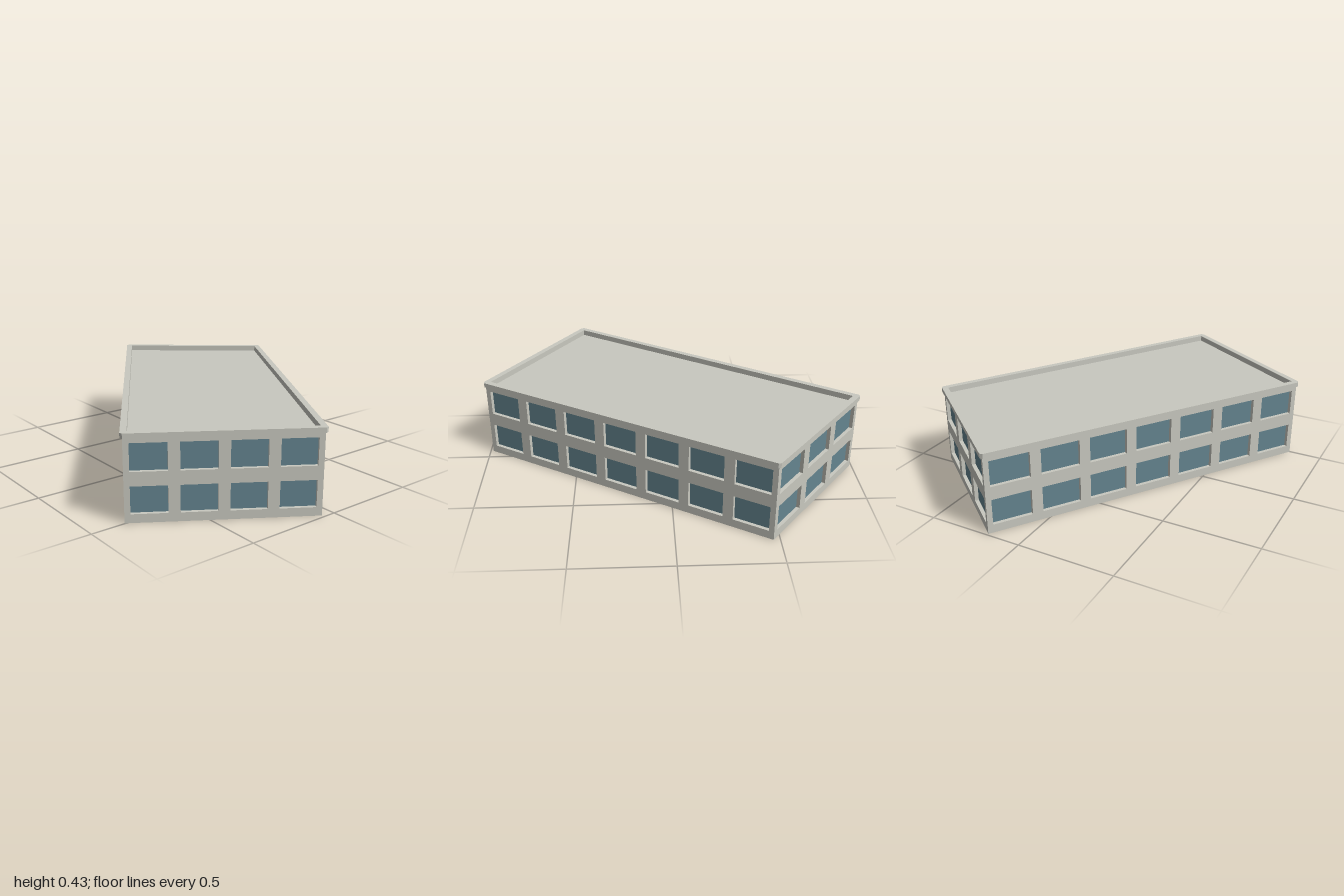
import * as THREE from 'three';

const THICK = 0.02;      // wall thickness
const WALL_TOP = 0.405;
const TOP = 0.43;
const ROOF = 0.4;
const OVERHANG = 0.011;  // coping overhang
const GAP = 0.055;       // pier between windows
const ROWS = [[0.043, 0.177], [0.246, 0.381]];

// Footprint corners (x, z), each wall running left to right as seen from outside
const CORNERS = [[-0.99, -0.178], [0.497, 0.826], [0.985, 0.065], [-0.467, -0.826]]
  .map(([x, z]) => new THREE.Vector2(x, z));
const WALLS = [['frontWall', 7], ['rightWall', 4], ['backWall', 7], ['leftWall', 3]];

const corner = i => CORNERS[(i + 4) % 4];
const along = i => corner(i + 1).clone().sub(corner(i)).normalize();
const outward = i => { const d = along(i); return new THREE.Vector2(-d.y, d.x); };

// Distance along the wall from an outer corner to its mitred inner corner
function mitre(i) {
  const angle = Math.acos(along(i).dot(along(i - 1).negate()));
  return THICK / Math.tan(angle / 2);
}

function innerCorner(i) {
  return corner(i).clone().addScaledVector(along(i), mitre(i)).addScaledVector(outward(i), -THICK);
}

const planPoints = pts => pts.map(p => new THREE.Vector2(p.x, -p.y));

// Horizontal slab from a plan shape
function slab(shape, bottom, top) {
  const geo = new THREE.ExtrudeGeometry(shape, { depth: top - bottom, bevelEnabled: false });
  return geo.rotateX(-Math.PI / 2).translate(0, bottom, 0);
}

function rectPath(Type, x0, y0, x1, y1) {
  return new Type([[x0, y0], [x1, y0], [x1, y1], [x0, y1]].map(p => new THREE.Vector2(...p)));
}

function makeWall(i, name, bays, concrete, glass) {
  const wall = new THREE.Group();
  wall.name = name;
  const length = corner(i).distanceTo(corner(i + 1));
  const bay = length / bays;
  const shape = rectPath(THREE.Shape, 0, 0, length, WALL_TOP);

  // Window openings and their recessed panes
  for (let b = 0; b < bays; b++) {
    for (const [y0, y1] of ROWS) {
      const x0 = b * bay + GAP / 2, x1 = (b + 1) * bay - GAP / 2;
      shape.holes.push(rectPath(THREE.Path, x0, y0, x1, y1));
      const pane = new THREE.Mesh(new THREE.PlaneGeometry(x1 - x0, y1 - y0), glass);
      pane.name = 'windowPane';
      pane.position.set((x0 + x1) / 2, (y0 + y1) / 2, -THICK + 0.001);
      wall.add(pane);
    }
  }

  // Wall panel with mitred ends
  const geo = new THREE.ExtrudeGeometry(shape, { depth: THICK, bevelEnabled: false });
  geo.translate(0, 0, -THICK);
  const pos = geo.attributes.position;
  for (let v = 0; v < pos.count; v++) {
    if (pos.getZ(v) > -THICK / 2) continue;
    if (pos.getX(v) < 1e-4) pos.setX(v, mitre(i));
    else if (pos.getX(v) > length - 1e-4) pos.setX(v, length - mitre(i + 1));
  }
  geo.computeVertexNormals();
  const panel = new THREE.Mesh(geo, concrete);
  panel.name = 'wallPanel';
  wall.add(panel);

  const d = along(i);
  wall.position.set(corner(i).x, 0, corner(i).y);
  wall.rotation.y = Math.atan2(-d.y, d.x);
  return wall;
}

export function createModel() {
  const concrete = new THREE.MeshStandardMaterial({ color: 0xc8c8bf });
  concrete.name = 'concrete';
  const glass = new THREE.MeshStandardMaterial({ color: 0x64848f, side: THREE.DoubleSide });
  glass.name = 'window glass';

  const model = new THREE.Group();
  model.name = 'building';
  WALLS.forEach(([name, bays], i) => model.add(makeWall(i, name, bays, concrete, glass)));

  // Parapet coping with clipped corners
  const inner = [0, 1, 2, 3].map(innerCorner);
  const outer = [0, 1, 2, 3].flatMap(i => [i - 1, i].map(w =>
    corner(i).clone().addScaledVector(outward((w + 4) % 4), OVERHANG)));
  const ring = new THREE.Shape(planPoints(outer));
  ring.holes.push(new THREE.Path(planPoints(inner)));
  const coping = new THREE.Mesh(slab(ring, WALL_TOP, TOP), concrete);
  coping.name = 'parapetCoping';

  // Flat roof set below the coping
  const roof = new THREE.Mesh(slab(new THREE.Shape(planPoints(inner)), ROOF - 0.008, ROOF), concrete);
  roof.name = 'roof';
  model.add(coping, roof);
  return model;
}
